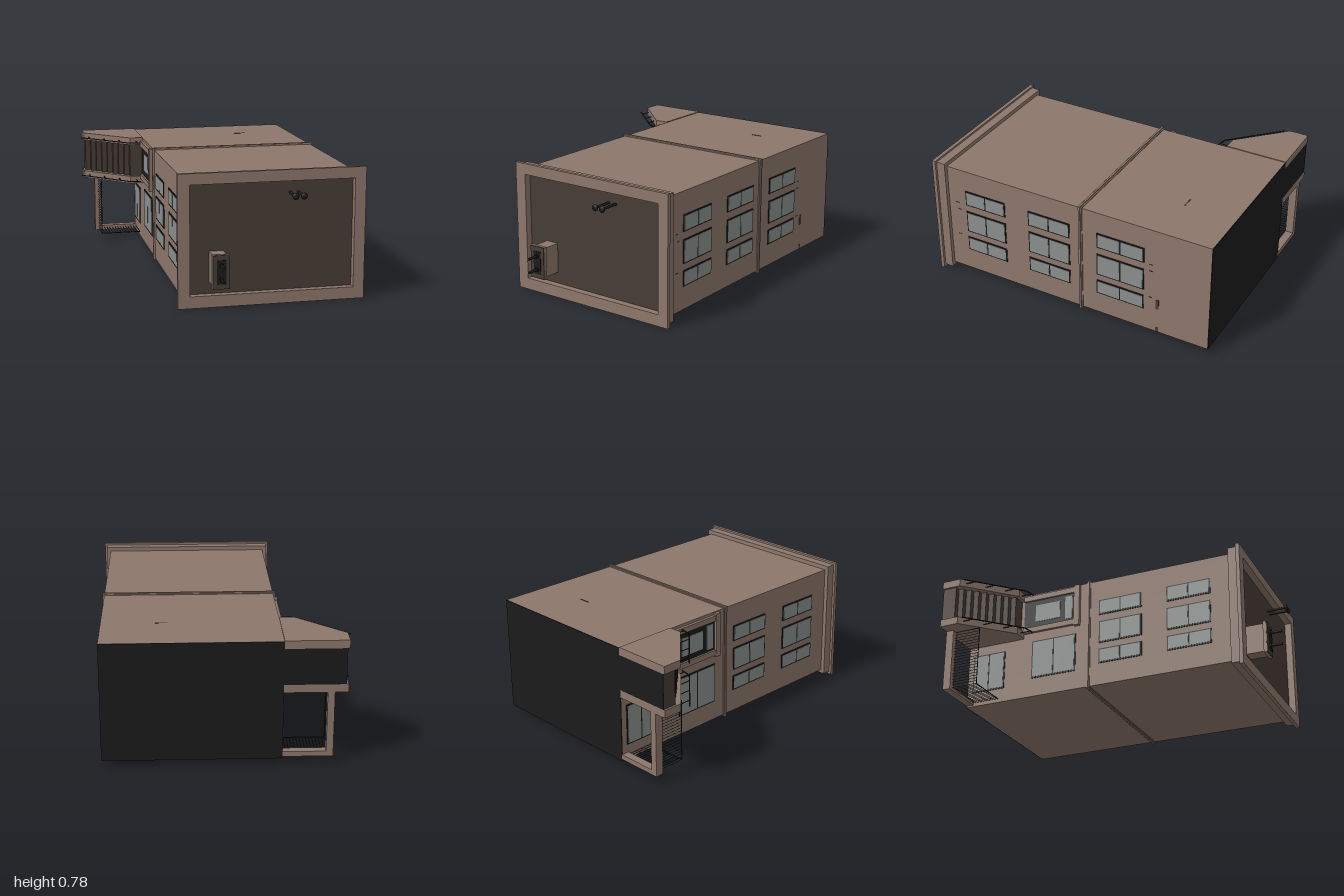
import * as THREE from 'three';

const mat = (name, color) => Object.assign(new THREE.MeshStandardMaterial({ color }), { name });

export function createModel() {
  const brick = mat('brown brick', 0x8d776b);
  const dark = mat('dark roofing', 0x483c36);
  const black = mat('black metal', 0x1b1b1b);
  const glass = mat('window glass', 0x8a908d);
  const model = new THREE.Group();
  model.name = 'townhouse';

  const add = (name, geo, m, parent = model) => {
    const mesh = new THREE.Mesh(geo, m);
    mesh.name = name;
    parent.add(mesh);
    return mesh;
  };
  // Box given by its lower and upper limits on each axis
  const box = (name, m, x0, x1, y0, y1, z0, z1, parent) => {
    const mesh = add(name, new THREE.BoxGeometry(x1 - x0, y1 - y0, z1 - z0), m, parent);
    mesh.position.set((x0 + x1) / 2, (y0 + y1) / 2, (z0 + z1) / 2);
    return mesh;
  };
  // Thin round bar between two points
  const bar = (name, a, b, r, m = black, parent = model, sides = 6) => {
    const p = new THREE.Vector3(...a), q = new THREE.Vector3(...b);
    const mesh = add(name, new THREE.CylinderGeometry(r, r, p.distanceTo(q), sides), m, parent);
    mesh.position.copy(p).lerp(q, 0.5);
    mesh.quaternion.setFromUnitVectors(new THREE.Vector3(0, 1, 0), q.sub(p).normalize());
    return mesh;
  };
  const rect = (C, x0, x1, y0, y1) => new C([[x0, y0], [x1, y0], [x1, y1], [x0, y1]]
    .map(([x, y]) => new THREE.Vector2(x, y)));
  // Flat ring around the roof opening
  const ring = (name, x0, x1, y0, y1, z0, z1) => {
    const s = rect(THREE.Shape, x0, x1, y0, y1);
    s.holes.push(rect(THREE.Path, -0.31, 0.655, 0.07, 0.715));
    add(name, new THREE.ExtrudeGeometry(s, { depth: z1 - z0, bevelEnabled: false }), brick).position.z = z0;
  };

  // Main block, ground slab, floor band and roof
  box('walls', brick, -0.34, 0.68, 0.04, 0.742, -0.995, 0.78);
  box('baseSlab', black, -0.34, 0.68, 0.04, 0.742, -1, -0.995);
  box('floorBand', brick, -0.345, 0.685, 0.035, 0.747, -0.178, -0.152);
  box('floorBandLip', brick, -0.352, 0.692, 0.028, 0.754, -0.17, -0.158);
  box('roof', dark, -0.315, 0.66, 0.065, 0.72, 0.775, 0.79);
  ring('parapetBase', -0.365, 0.705, 0.018, 0.768, 0.755, 0.81);
  ring('parapetCap', -0.38, 0.72, 0, 0.78, 0.81, 0.833);

  // Framed window on a side wall (side +1 is the left wall)
  const windowAt = (side, y0, y1, z0, z1) => {
    const g = new THREE.Group();
    g.name = 'window';
    const wall = side > 0 ? 0.68 : -0.34;
    const plate = (name, m, t, a, b, c, d) => {
      const o = wall + side * t;
      box(name, m, Math.min(wall, o), Math.max(wall, o), a, b, c, d, g);
    };
    const f = 0.008, mid = (z0 + z1) / 2;
    plate('windowFrame', black, 0.004, y0, y1, z0, z1);
    plate('lowerPane', glass, 0.006, y0 + f, y1 - f, z0 + f, mid - f / 2);
    plate('upperPane', glass, 0.006, y0 + f, y1 - f, mid + f / 2, z1 - f);
    model.add(g);
  };
  const rows = [[0.18, 0.275], [0.315, 0.46], [0.505, 0.605]];
  const floors = [[0.352, 0.632], [-0.093, 0.19], [-0.582, -0.273]];
  floors.forEach(([z0, z1], i) => rows.forEach(([y0, y1]) => {
    windowAt(1, y0, y1, z0, z1);
    if (i < 2) windowAt(-1, y0, y1, z0, z1);
  }));
  windowAt(-1, 0.16, 0.41, -0.55, -0.25);
  windowAt(-1, 0.13, 0.38, -0.96, -0.74);

  // Entrance door with surround
  for (const [y0, y1] of [[0.47, 0.505], [0.69, 0.725]])
    box('doorJamb', brick, -0.358, -0.34, y0, y1, -0.61, -0.26);
  box('doorLintel', brick, -0.362, -0.34, 0.46, 0.735, -0.26, -0.222);
  box('door', black, -0.346, -0.34, 0.505, 0.69, -0.61, -0.26);
  box('doorPane', glass, -0.349, -0.34, 0.54, 0.655, -0.53, -0.36);
  box('transomPane', glass, -0.349, -0.34, 0.52, 0.675, -0.325, -0.275);

  // Stoop: two side walls with steps between them
  const profile = new THREE.Shape([[-0.7, 1], [-0.34, 1], [-0.34, 0.612], [-0.425, 0.612], [-0.7, 0.88]]
    .map(([x, y]) => new THREE.Vector2(x, y)));
  for (const y0 of [0.44, 0.7]) {
    const cheek = add('stoopWall', new THREE.ExtrudeGeometry(profile, { depth: 0.047, bevelEnabled: false }), brick);
    cheek.rotation.x = -Math.PI / 2;
    cheek.position.y = y0;
  }
  for (let i = 0; i < 9; i++) {
    const x = -0.688 + i * 0.033;
    box('step', dark, x, i < 8 ? x + 0.033 : -0.34, 0.487, 0.7, -0.995, -0.91 + i * 0.0345);
  }
  box('stoopBase', black, -0.688, -0.34, 0.487, 0.7, -1, -0.995);
  // Handrails
  for (const y of [0.464, 0.722]) {
    const path = [[-0.722, y, -0.835], [-0.435, y, -0.555], [-0.365, y, -0.543]];
    bar('handrail', path[0], path[1], 0.004);
    bar('handrailEnd', path[1], path[2], 0.004);
    for (const [x, z0, z1] of [[-0.67, -0.86, -0.785], [-0.58, -0.77, -0.697], [-0.49, -0.68, -0.61], [-0.385, -0.615, -0.546]])
      bar('railPost', [x, y, z0], [x, y, z1], 0.003);
  }

  // Sunken yard: curb and picket fence
  box('curbSide', brick, -0.625, -0.585, 0.05, 0.44, -1, -0.95);
  box('curbEnd', brick, -0.585, -0.34, 0.05, 0.08, -1, -0.95);
  const fz = -0.78;
  bar('fenceRail', [-0.6, 0.065, fz], [-0.6, 0.44, fz], 0.003);
  bar('fenceRail', [-0.6, 0.065, fz], [-0.34, 0.065, fz], 0.003);
  for (let i = 0; i <= 20; i++)
    bar('picket', [-0.6, 0.065 + i * 0.0185, -0.95], [-0.6, 0.065 + i * 0.0185, fz], 0.0018, black, model, 4);
  for (let i = 1; i <= 14; i++)
    bar('picket', [-0.6 + i * 0.0185, 0.065, -0.95], [-0.6 + i * 0.0185, 0.065, fz], 0.0018, black, model, 4);

  // Chimney with two flues
  box('chimney', brick, -0.19, -0.108, 0.14, 0.32, 0.785, 0.9);
  box('chimneyCap', brick, -0.2, -0.098, 0.13, 0.33, 0.9, 0.92);
  box('chimneyTop', dark, -0.198, -0.1, 0.132, 0.328, 0.92, 0.925);
  box('chimneyOpening', black, -0.175, -0.122, 0.16, 0.3, 0.925, 0.928);
  for (const y of [0.188, 0.27]) {
    bar('flue', [-0.149, y, 0.92], [-0.149, y, 1], 0.008, black, model, 10);
    bar('flueCollar', [-0.149, y, 0.92], [-0.149, y, 0.935], 0.013, black, model, 10);
  }

  // Roof vents with rounded heads
  for (const x of [0.28, 0.329]) {
    bar('ventPipe', [x, 0.641, 0.785], [x, 0.641, 0.91], 0.008, black, model, 10);
    const head = add('ventHead', new THREE.SphereGeometry(0.02, 12, 8), black);
    head.scale.z = 0.55;
    head.position.set(x, 0.641, 0.912);
  }

  // Worn patches and brick chips on the walls
  box('wornPatch', dark, 0.678, 0.682, 0.205, 0.27, -0.68, -0.66);
  box('wornPatch', dark, 0.678, 0.682, 0.042, 0.07, -0.68, -0.662);
  box('wornPatch', dark, 0.3, 0.37, 0.74, 0.744, -0.679, -0.672);
  for (const [y, z] of [[0.505, 0.695], [0.46, 0.68], [0.275, 0.69], [0.505, -0.625], [0.46, -0.625], [0.275, -0.625]])
    box('brickChip', dark, 0.678, 0.682, y - 0.002, y + 0.002, z - 0.012, z + 0.012);

  return model;
}
